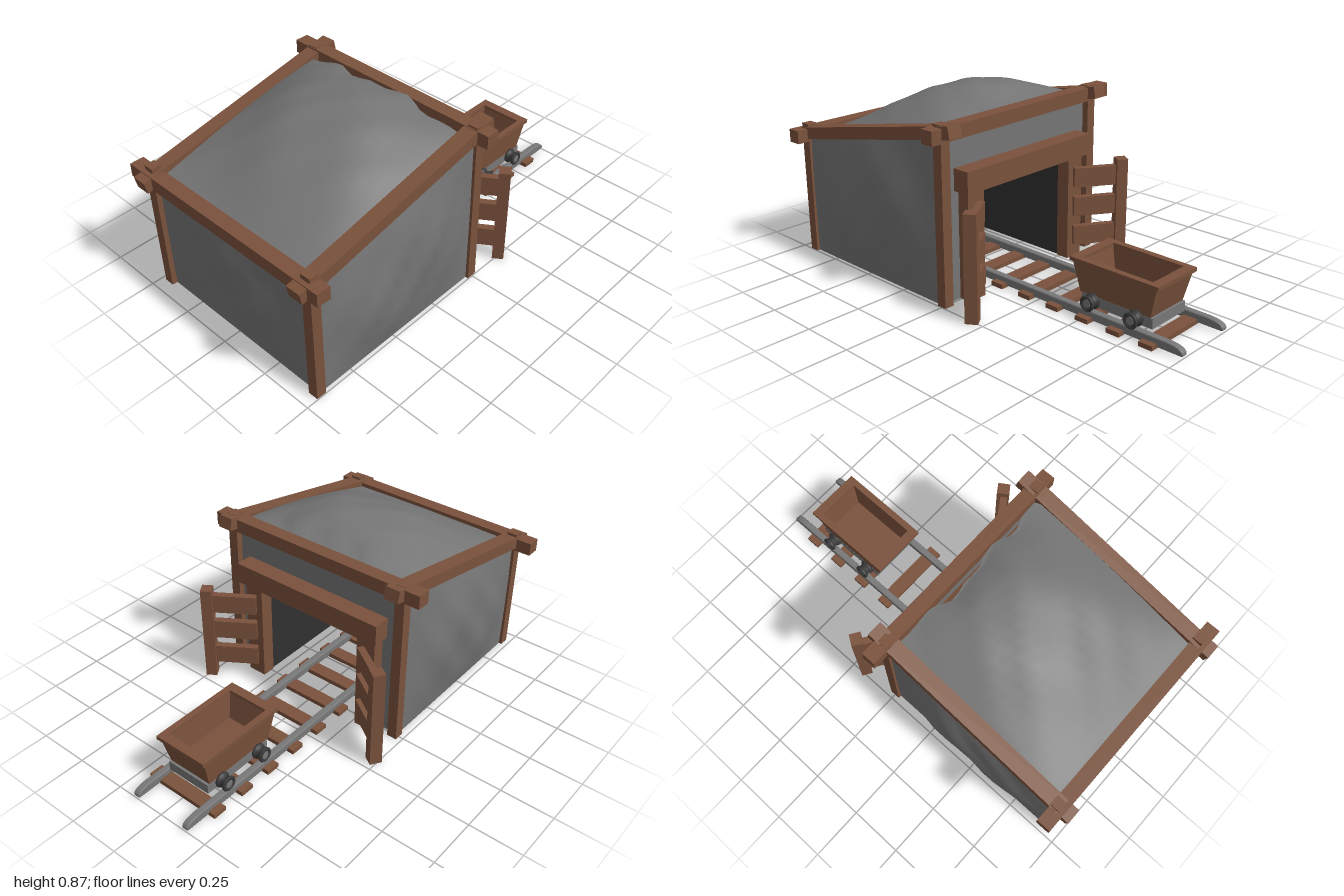
import * as THREE from 'three';
import { ParametricGeometry } from 'three/addons/geometries/ParametricGeometry.js';

const mat = (color, extra = {}) => new THREE.MeshStandardMaterial({ color, ...extra });
const wood = mat(0x7a523c);
const rock = mat(0x757575, { side: THREE.DoubleSide });
const dark = mat(0x303030, { side: THREE.DoubleSide });
const metal = mat(0x777777);
const iron = mat(0x3a3a3a);

const CZ = 0.01; // middle of the hut in z
const roofY = (x) => 0.772 + 0.2 * x;
const bump = (a, b) => Math.sin(a * 9 + b * 5) * 0.6 + Math.sin(a * 17 - b * 13 + 2) * 0.4;

function mesh(parent, name, geometry, material, x = 0, y = 0, z = 0) {
  const m = new THREE.Mesh(geometry, material);
  m.name = name;
  m.position.set(x, y, z);
  parent.add(m);
  return m;
}

// box given by its lower and upper limits
function box(parent, name, material, [x0, x1], [y0, y1], [z0, z1]) {
  return mesh(parent, name, new THREE.BoxGeometry(x1 - x0, y1 - y0, z1 - z0), material,
    (x0 + x1) / 2, (y0 + y1) / 2, (z0 + z1) / 2);
}

const polygon = (pts) => new THREE.Shape(pts.map(([x, y]) => new THREE.Vector2(x, y)));

function buildRock() {
  const g = new THREE.Group();
  g.name = 'rockBody';
  const X0 = -0.92, X1 = -0.01;

  // bulging side walls
  for (const s of [1, -1]) {
    const wall = new ParametricGeometry((u, v, p) => {
      const t = s > 0 ? u : 1 - u;
      const x = X0 + (X1 - X0) * t;
      const fade = Math.sin(Math.PI * t) * Math.sin(Math.PI * Math.min(1, v));
      p.set(x, v * roofY(x), CZ + s * (0.472 + fade * (0.05 + 0.014 * bump(t * 1.3 + s, v))));
    }, 16, 10);
    mesh(g, s > 0 ? 'leftRockWall' : 'rightRockWall', wall, rock);
  }

  // back wall
  mesh(g, 'backRockWall', new ParametricGeometry((u, v, p) => {
    const fade = Math.sin(Math.PI * u) * Math.sin(Math.PI * v);
    p.set(X0 - 0.015 * fade * (1 + bump(u, v)), v * roofY(X0), CZ + (u - 0.5) * 0.944);
  }, 12, 8), rock);

  // domed top with an uneven front lip
  mesh(g, 'rockMound', new ParametricGeometry((u, v, p) => {
    const n = 2 * u - 1;
    const across = 1 - n * n;
    const lip = v > 0.8 ? 0.035 * across * (1 + bump(u * 1.7, 0.3)) * (v - 0.8) / 0.2 : 0;
    const x = X0 + (X1 - X0) * v - lip;
    const rise = 0.157 * Math.sin(Math.PI * 0.88 * Math.pow(v, 1.15)) * across;
    const rough = 0.009 * bump(u * 1.5, v * 1.5) * across * Math.sin(Math.PI * v);
    p.set(x, v > 0.999 ? 0.74 : roofY(x) + rise + rough, CZ + n * 0.472);
  }, 20, 20), rock);

  // front wall with the doorway cut out (shape x is -z)
  const front = new THREE.ShapeGeometry(polygon([
    [-0.482, 0], [-0.3, 0], [-0.3, 0.51], [0.28, 0.51], [0.28, 0],
    [0.462, 0], [0.462, 0.77], [-0.482, 0.77]]));
  mesh(g, 'frontRockWall', front.rotateY(Math.PI / 2), rock, -0.008);

  // underside around the tunnel
  const base = new THREE.ShapeGeometry(polygon([
    [X0, -0.462], [X1, -0.462], [X1, -0.28], [-0.69, -0.28],
    [-0.69, 0.3], [X1, 0.3], [X1, 0.482], [X0, 0.482]]));
  mesh(g, 'underside', base.rotateX(Math.PI / 2), dark, 0, 0.002);

  // tunnel lining
  box(g, 'tunnelLeftWall', dark, [-0.69, -0.01], [0.002, 0.51], [0.29, 0.3]);
  box(g, 'tunnelRightWall', dark, [-0.69, -0.01], [0.002, 0.51], [-0.28, -0.27]);
  box(g, 'tunnelBackWall', dark, [-0.7, -0.69], [0.002, 0.51], [-0.28, 0.3]);
  box(g, 'tunnelCeiling', dark, [-0.69, -0.01], [0.505, 0.515], [-0.28, 0.3]);
  return g;
}

function buildFrame() {
  const g = new THREE.Group();
  g.name = 'timberFrame';
  for (const s of [1, -1]) {
    const z = CZ + s * 0.463;
    // corner posts poke through the beams
    box(g, 'backPost', wood, [-0.945, -0.898], [0, 0.637], [z - 0.024, z + 0.024]);
    box(g, 'frontPost', wood, [-0.025, 0.023], [0, 0.81], [z - 0.024, z + 0.024]);
    // sloping side beams
    const beam = mesh(g, 'sideBeam', new THREE.BoxGeometry(1.09, 0.056, 0.07), wood, -0.46, 0.683, CZ + s * 0.457);
    beam.rotation.z = Math.atan(0.2);
    // door posts
    const d = CZ + s * 0.322;
    box(g, 'doorPost', wood, [-0.015, 0.05], [0, 0.5], [d - 0.047, d + 0.047]);
  }
  box(g, 'backCrossBeam', wood, [-0.965, -0.9], [0.553, 0.615], [-0.555, 0.555]);
  const top = box(g, 'frontCrossBeam', wood, [-0.03, 0.035], [0.74, 0.803], [-0.555, 0.555]);
  top.rotation.x = 0.006;
  box(g, 'lintel', wood, [-0.01, 0.075], [0.502, 0.602], [-0.38, 0.402]);
  return g;
}

// splayed fence beside the doorway
function buildFence(s) {
  const g = new THREE.Group();
  g.name = s > 0 ? 'leftFence' : 'rightFence';
  const a = new THREE.Vector2(0.06, 0.302), b = new THREE.Vector2(0.185, 0.492);
  const turn = -s * Math.atan2(b.y - a.y, b.x - a.x);
  const post = mesh(g, 'fencePost', new THREE.BoxGeometry(0.052, 0.485, 0.056), wood, 0.19, 0.2425, CZ + s * 0.488);
  post.rotation.y = turn;
  for (const y of [0.117, 0.262, 0.405]) {
    const slat = mesh(g, 'fenceSlat', new THREE.BoxGeometry(a.distanceTo(b), 0.093, 0.032), wood,
      (a.x + b.x) / 2, y, CZ + s * (a.y + b.y) / 2);
    slat.rotation.y = turn;
  }
  return g;
}

function buildTrack() {
  const g = new THREE.Group();
  g.name = 'track';
  // rail side profile with rounded ends
  const rail = new THREE.Shape();
  rail.moveTo(-0.63, 0.006);
  rail.lineTo(0.99, 0.006);
  rail.quadraticCurveTo(1.0, 0.006, 1.0, 0.016);
  rail.quadraticCurveTo(0.998, 0.042, 0.93, 0.046);
  rail.lineTo(-0.58, 0.046);
  rail.quadraticCurveTo(-0.63, 0.044, -0.63, 0.016);
  const geo = new THREE.ExtrudeGeometry(rail, {
    depth: 0.02, bevelEnabled: true, bevelSize: 0.005, bevelOffset: -0.005,
    bevelThickness: 0.006, bevelSegments: 2, curveSegments: 6 });
  geo.translate(0, 0, -0.01);
  for (const z of [0.147, -0.138]) mesh(g, 'rail', geo, metal, 0, 0, z);
  for (let i = 0; i < 10; i++) {
    const x = 0.845 - i * 0.163;
    box(g, 'sleeper', wood, [x - 0.033, x + 0.033], [0, 0.021], [-0.186, 0.194]);
  }
  return g;
}

function buildCart() {
  const g = new THREE.Group();
  g.name = 'cart';
  const cx = 0.635;
  const rect = (w, d) => [[-w, -d], [w, -d], [w, d], [-w, d]];

  // tapered walls from cross-sections: outside up, then inside down to the floor
  const rings = [[0.18, 0.112, 0.095], [0.213, 0.127, 0.235], [0.18, 0.104, 0.235], [0.155, 0.092, 0.115]];
  const pos = [], index = [];
  for (const [w, d, y] of rings) for (const [x, z] of rect(w, d)) pos.push(x, y, z);
  for (let r = 0; r < 3; r++) for (let k = 0; k < 4; k++) {
    const a = r * 4 + k, b = r * 4 + (k + 1) % 4;
    index.push(a, a + 4, b, b, a + 4, b + 4);
  }
  index.push(0, 1, 2, 0, 2, 3, 12, 14, 13, 12, 15, 14);
  let tub = new THREE.BufferGeometry();
  tub.setAttribute('position', new THREE.Float32BufferAttribute(pos, 3));
  tub.setIndex(index);
  tub = tub.toNonIndexed();
  tub.computeVertexNormals();
  mesh(g, 'tub', tub, wood, cx, 0, CZ);

  // rim
  const rim = polygon(rect(0.225, 0.134));
  rim.holes.push(polygon(rect(0.18, 0.104)));
  const rimGeo = new THREE.ExtrudeGeometry(rim, { depth: 0.018, bevelEnabled: false });
  mesh(g, 'rim', rimGeo.rotateX(-Math.PI / 2), wood, cx, 0.232, CZ);

  // chassis and wheels
  box(g, 'chassis', metal, [0.465, 0.827], [0.05, 0.096], [CZ - 0.113, CZ + 0.113]);
  const profile = [[0, -0.025], [0.034, -0.025], [0.037, -0.019], [0.034, -0.012], [0.027, -0.006],
    [0.027, 0.006], [0.034, 0.012], [0.036, 0.02], [0.032, 0.025], [0.023, 0.025], [0.021, 0.017], [0, 0.017]];
  const wheel = new THREE.LatheGeometry(profile.map(([r, y]) => new THREE.Vector2(r, y)), 20);
  const hub = new THREE.CylinderGeometry(0.018, 0.018, 0.008, 16);
  for (const x of [0.528, 0.75]) for (const s of [1, -1]) {
    mesh(g, 'wheel', wheel, iron, x, 0.078, CZ + s * 0.14).rotation.x = s * Math.PI / 2;
    mesh(g, 'hub', hub, metal, x, 0.078, CZ + s * 0.158).rotation.x = Math.PI / 2;
  }
  return g;
}

export function createModel() {
  const model = new THREE.Group();
  model.name = 'mineEntrance';
  model.add(buildRock(), buildFrame(), buildFence(1), buildFence(-1), buildTrack(), buildCart());
  return model;
}
